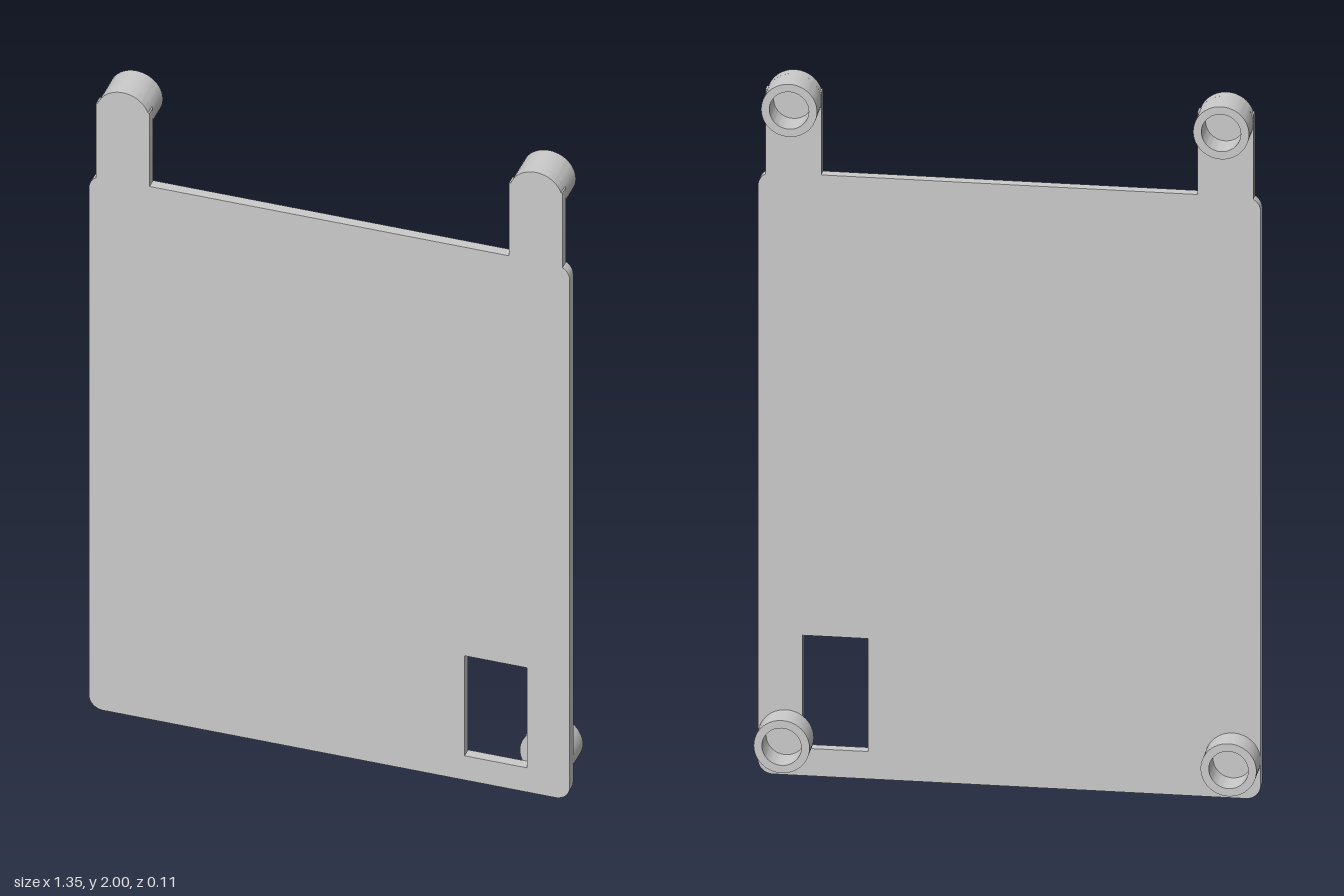
import * as THREE from 'three';
import { toCreasedNormals } from 'three/addons/utils/BufferGeometryUtils.js';

const W = 0.675, TOP = 1.715, R = 0.04;      // plate half width, height, corner radius
const BACK = -0.055, MID = 0.025, FRONT = 0.055;
const BOSS_R = 0.075, BORE_R = 0.053;
const TAB_X = 0.58, TAB_Y = 1.925, TAB_SIDE = 1.95;

const material = new THREE.MeshStandardMaterial({ color: 0xcccccc });

function extrude(name, shape, z0, z1) {
  const geometry = new THREE.ExtrudeGeometry(shape, {
    depth: z1 - z0, bevelEnabled: false, curveSegments: 24,
  });
  geometry.translate(0, 0, z0);
  const mesh = new THREE.Mesh(toCreasedNormals(geometry, 0.5), material);
  mesh.name = name;
  return mesh;
}

// Plate outline with rounded corners and two round-topped tabs
function plateShape() {
  const s = new THREE.Shape();
  const a = Math.asin((TAB_SIDE - TAB_Y) / BOSS_R);
  const shoulder = Math.acos((W - R - TAB_X - BOSS_R) / -R);
  const tab = (cx) => {
    s.lineTo(cx + BOSS_R, TAB_SIDE);
    s.absarc(cx, TAB_Y, BOSS_R, a, Math.PI - a, false);
    s.lineTo(cx - BOSS_R, TAB_SIDE);
  };
  s.moveTo(-W + R, 0);
  s.absarc(W - R, R, R, -Math.PI / 2, 0, false);
  s.absarc(W - R, TOP - R, R, 0, shoulder, false);
  tab(TAB_X);
  s.lineTo(TAB_X - BOSS_R, TOP);
  s.lineTo(-TAB_X + BOSS_R, TOP);
  tab(-TAB_X);
  s.absarc(-W + R, TOP - R, R, Math.PI - shoulder, Math.PI, false);
  s.absarc(-W + R, R, R, Math.PI, Math.PI * 1.5, false);

  // Rectangular window in the lower corner
  s.holes.push(new THREE.Path([
    [0.38, 0.078], [0.38, 0.4], [0.556, 0.4], [0.556, 0.078],
  ].map(([x, y]) => new THREE.Vector2(x, y))));
  return s;
}

// Hollow round boss
function bossShape(x, y) {
  const s = new THREE.Shape();
  s.absarc(x, y, BOSS_R, 0, Math.PI * 2, false);
  const bore = new THREE.Path();
  bore.absarc(x, y, BORE_R, 0, Math.PI * 2, true);
  s.holes.push(bore);
  return s;
}

export function createModel() {
  const model = new THREE.Group();
  model.name = 'mountingPlate';
  model.add(extrude('plate', plateShape(), MID, FRONT));

  // Four bosses standing off the back
  for (const side of [1, -1]) {
    const label = side > 0 ? 'Left' : 'Right';
    model.add(extrude('upperBoss' + label, bossShape(side * TAB_X, TAB_Y), BACK, MID));
    model.add(extrude('lowerBoss' + label, bossShape(side * 0.6, 0.11), BACK, MID));
  }
  return model;
}
